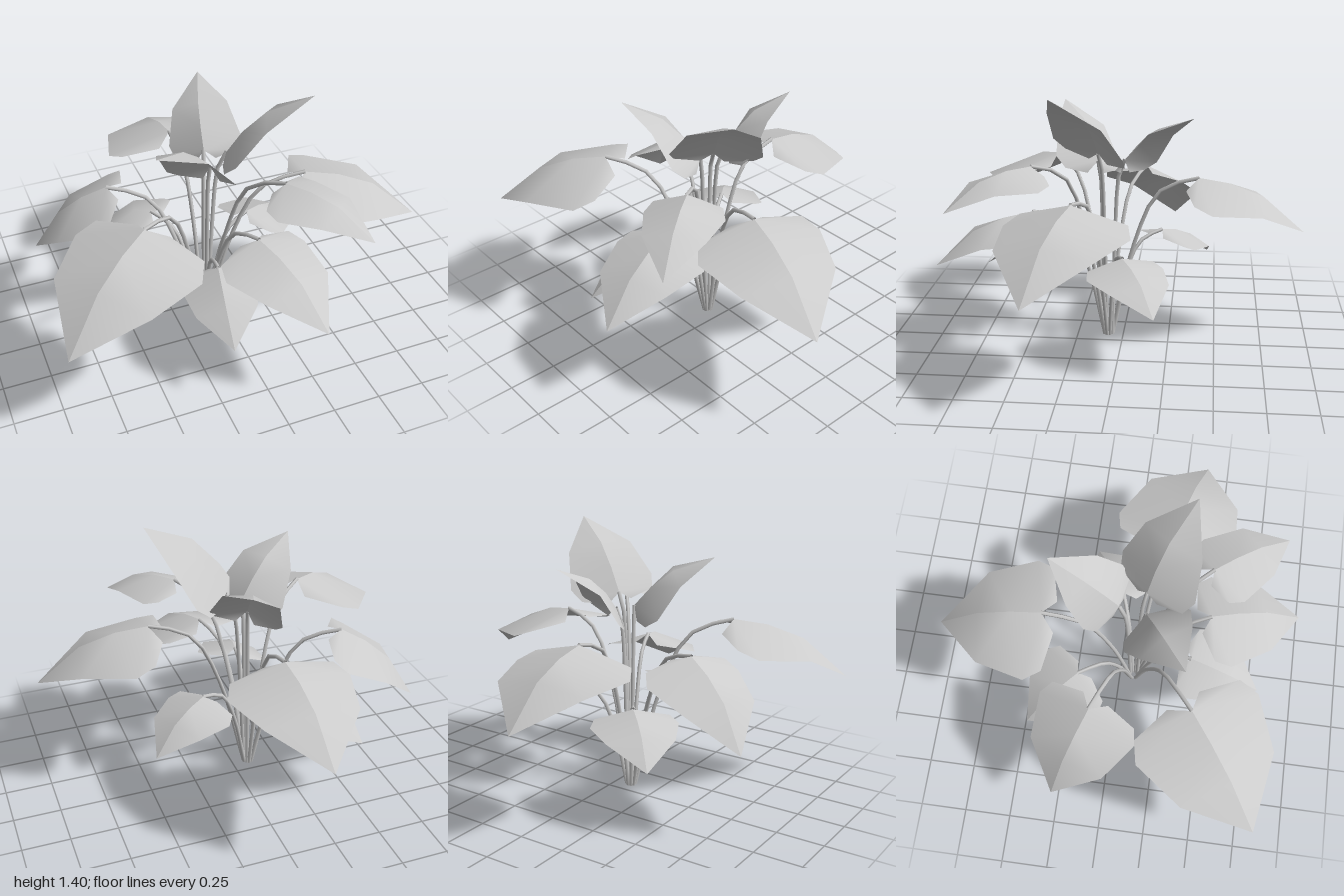
import * as THREE from 'three';

const ROOT = new THREE.Vector3(-0.09, 0.02, 0.08);
const UP = new THREE.Vector3(0, 1, 0);

// Each leaf: stem end, tip, half width as a share of its length, droop of the edges, roll
const LEAVES = [
  // upright young leaves
  ['upperLeafLeft', [0.02, 1.07, 0.12], [0.39, 1.415, 0.315], 0.43, 0.5, -0.15],
  ['upperLeafRight', [-0.07, 1.01, 0.13], [-0.42, 1.267, 0.35], 0.4, 1.1, 0.2],
  ['upperLeafBack', [-0.05, 1.02, -0.01], [0.055, 1.268, -0.37], 0.42, 1.1, -0.25],
  // large spreading leaves
  ['largeLeafBack', [-0.1, 0.92, -0.4], [-0.12, 0.63, -0.96], 0.52, 1, 0],
  ['largeLeafLeft', [0.42, 0.91, 0.21], [1.0, 0.6, 0.36], 0.49, 1, 0],
  ['largeLeafRight', [-0.51, 0.94, 0.41], [-1.0, 0.615, 0.79], 0.51, 1, 0],
  ['largeLeafFront', [0.055, 0.76, 0.465], [0.21, 0.5, 0.95], 0.45, 1, 0],
  ['largeLeafFrontLeft', [0.2, 1.04, 0.44], [0.49, 0.87, 0.82], 0.39, 1, 0],
  ['largeLeafBackRight', [-0.55, 0.865, -0.095], [-0.915, 0.48, -0.25], 0.5, 1, 0],
  // small low leaves
  ['lowLeafLeft', [0.2, 0.565, -0.02], [0.515, 0.365, -0.2], 0.52, 1, 0],
  ['lowLeafBackRight', [-0.285, 0.57, -0.2], [-0.53, 0.37, -0.45], 0.56, 1, 0],
  ['lowLeafFront', [-0.13, 0.58, 0.39], [-0.195, 0.375, 0.77], 0.46, 1, 0.2],
];

// Heart-shaped blade of unit length along +z: two drooping halves creased along a bowed midrib
function bladeGeometry(width, droop) {
  const rib = [[0, 0], [0.08, 0.25], [0.112, 0.55], [0, 1]]; // y, z
  const edge = [ // share of the half width, y, z
    [0.26, -0.12, -0.06],
    [0.86, -0.126, 0.015],
    [1, -0.11, 0.17],
    [0.76, 0.035, 0.55],
  ];
  const faces = [[0, 5, 4], [0, 6, 5], [0, 1, 6], [1, 7, 6], [1, 2, 7], [2, 3, 7]];
  const points = [];
  const index = [];
  for (const side of [1, -1]) {
    const first = points.length;
    for (const [y, z] of rib) points.push([0, y, z]);
    for (const [x, y, z] of edge) {
      points.push([side * x * width, y < 0 ? y * droop : y, z]);
    }
    for (const [i, j, k] of faces) {
      index.push(...(side > 0 ? [i, j, k] : [i, k, j]).map((n) => first + n));
    }
  }
  const geometry = new THREE.BufferGeometry();
  geometry.setAttribute('position', new THREE.Float32BufferAttribute(points.flat(), 3));
  geometry.setIndex(index);
  geometry.computeVertexNormals();
  return geometry;
}

// Thin stem that climbs steeply, then bends out to the leaf
function stemGeometry(end) {
  const out = new THREE.Vector3(end.x - ROOT.x, 0, end.z - ROOT.z).normalize();
  const start = ROOT.clone().addScaledVector(out, 0.022);
  // share outwards, share of height
  const bends = [[0, 0], [0.25, 0.58], [0.52, 0.9], [0.78, 0.975], [1, 1]];
  const points = bends.map(([f, h]) => new THREE.Vector3(
    THREE.MathUtils.lerp(start.x, end.x, f),
    THREE.MathUtils.lerp(start.y, end.y, h),
    THREE.MathUtils.lerp(start.z, end.z, f),
  ));
  return new THREE.TubeGeometry(new THREE.CatmullRomCurve3(points), 10, 0.011, 5, false);
}

export function createModel() {
  const plant = new THREE.Group();
  plant.name = 'plant';
  const material = new THREE.MeshStandardMaterial({ color: 0xcccccc, side: THREE.DoubleSide });

  for (const [name, from, to, width, droop, roll] of LEAVES) {
    const base = new THREE.Vector3(...from);
    const along = new THREE.Vector3(...to).sub(base);
    const length = along.length();
    along.normalize();
    const across = new THREE.Vector3().crossVectors(UP, along).normalize();
    const normal = new THREE.Vector3().crossVectors(along, across);

    const blade = new THREE.Mesh(bladeGeometry(width, droop), material);
    blade.name = 'blade';
    blade.quaternion.setFromRotationMatrix(new THREE.Matrix4().makeBasis(across, normal, along));
    blade.rotateZ(roll);
    blade.position.copy(base);
    blade.scale.setScalar(length);

    const stem = new THREE.Mesh(stemGeometry(base), material);
    stem.name = 'stem';

    const leaf = new THREE.Group();
    leaf.name = name;
    leaf.add(blade, stem);
    plant.add(leaf);
  }
  return plant;
}
